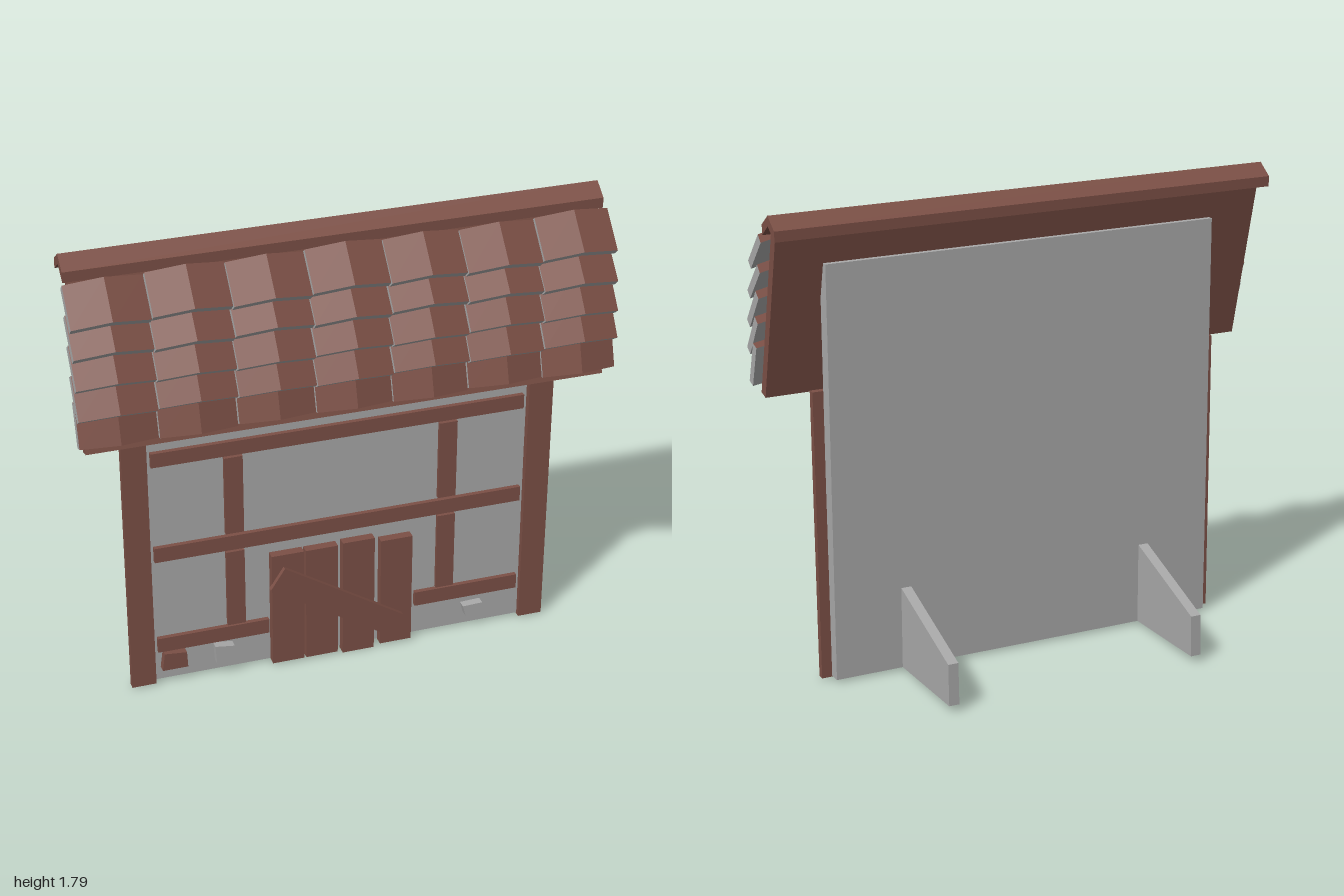
import * as THREE from 'three';

const wood = new THREE.MeshStandardMaterial({ color: 0x7c5046 });
wood.name = 'brown wood';
const stone = new THREE.MeshStandardMaterial({ color: 0xa9a9a9 });
stone.name = 'grey plaster';

// Box given by its extents on each axis
function block(name, [x0, x1], [y0, y1], [z0, z1], material = wood) {
  const mesh = new THREE.Mesh(new THREE.BoxGeometry(x1 - x0, y1 - y0, z1 - z0), material);
  mesh.position.set((x0 + x1) / 2, (y0 + y1) / 2, (z0 + z1) / 2);
  mesh.name = name;
  return mesh;
}

// Profile drawn in (z, y), extruded along x from x0 to x1
function sideProfile(name, points, x0, x1, material) {
  const shape = new THREE.Shape(points.map(([z, y]) => new THREE.Vector2(-z, y)));
  const geometry = new THREE.ExtrudeGeometry(shape, { depth: x1 - x0, bevelEnabled: false });
  geometry.rotateY(Math.PI / 2).translate(x0, 0, 0);
  const mesh = new THREE.Mesh(geometry, material);
  mesh.name = name;
  return mesh;
}

// Small irregular slab drawn in (x, y), standing out from the wall
function facePlate(name, points, z0, z1, material) {
  const shape = new THREE.Shape(points.map(([x, y]) => new THREE.Vector2(x, y)));
  const geometry = new THREE.ExtrudeGeometry(shape, { depth: z1 - z0, bevelEnabled: false });
  geometry.translate(0, 0, z0);
  const mesh = new THREE.Mesh(geometry, material);
  mesh.name = name;
  return mesh;
}

// Bent roof tile: crease top at the origin, hanging down -y; brown front and top, grey elsewhere
function tileGeometry(width, length, bend, thick) {
  const across = [[-width / 2, -bend], [0, 0], [width / 2, -bend]];
  const p = (i, back, low) => [across[i][0], low ? -length : 0, across[i][1] - (back ? thick : 0)];
  const brown = [], grey = [];
  const quad = (list, a, b, c, d) => list.push(...a, ...b, ...c, ...a, ...c, ...d);
  for (let i = 0; i < 2; i++) {
    const j = i + 1;
    quad(brown, p(i, 0, 1), p(j, 0, 1), p(j, 0, 0), p(i, 0, 0));
    quad(brown, p(i, 0, 0), p(j, 0, 0), p(j, 1, 0), p(i, 1, 0));
    quad(grey, p(j, 1, 1), p(i, 1, 1), p(i, 1, 0), p(j, 1, 0));
    quad(grey, p(i, 1, 1), p(j, 1, 1), p(j, 0, 1), p(i, 0, 1));
  }
  quad(grey, p(0, 1, 1), p(0, 0, 1), p(0, 0, 0), p(0, 1, 0));
  quad(grey, p(2, 0, 1), p(2, 1, 1), p(2, 1, 0), p(2, 0, 0));
  const geometry = new THREE.BufferGeometry();
  geometry.setAttribute('position', new THREE.Float32BufferAttribute([...brown, ...grey], 3));
  geometry.addGroup(0, brown.length / 3, 0);
  geometry.addGroup(brown.length / 3, grey.length / 3, 1);
  geometry.computeVertexNormals();
  return geometry;
}

export function createModel() {
  const model = new THREE.Group();
  model.name = 'timberFramedWall';

  // Wall panel and rear props
  model.add(block('wall', [-0.78, 0.78], [0.015, 1.6], [0.077, 0.132], stone));
  for (const x of [-0.505, 0.495]) {
    model.add(sideProfile('rearProp',
      [[0.08, 0.335], [0.08, 0.015], [-0.345, 0.03], [-0.34, 0.19]], x - 0.02, x + 0.02, stone));
  }

  // Corner posts, leaning slightly forward
  for (const [x0, x1, lean] of [[-0.823, -0.73, 0.004], [0.725, 0.82, 0]]) {
    const post = block('cornerPost', [x0, x1], [0.01, 1.12], [0.13, 0.157]);
    post.rotation.set(0.01, 0, lean);
    model.add(post);
  }

  // Horizontal rails
  const rails = [
    [-0.715, 0.71, 0.94, 0.997], [-0.715, 0.71, 0.54, 0.6],
    [-0.715, -0.285, 0.145, 0.205], [0.295, 0.71, 0.145, 0.205],
  ];
  for (const [x0, x1, y0, y1] of rails) model.add(block('rail', [x0, x1], [y0, y1], [0.125, 0.15]));

  // Short uprights between the rails
  for (const x of [-0.41, 0.415]) {
    for (const [y0, y1] of [[0.61, 0.93], [0.21, 0.53]]) {
      model.add(block('upright', [x - 0.035, x + 0.035], [y0, y1], [0.125, 0.148]));
    }
  }

  // Boarded hatch with a diagonal brace
  const planks = [[-0.277, -0.152, 0.013, 0.49], [-0.145, -0.02, 0.013, 0.49],
    [0, 0.125, 0.003, 0.495], [0.15, 0.275, 0.013, 0.475]];
  for (const [x0, x1, y0, y1] of planks) model.add(block('hatchPlank', [x0, x1], [y0, y1], [0.13, 0.167]));
  model.add(facePlate('hatchBrace',
    [[-0.287, 0.355], [0.182, 0.055], [0.235, 0.142], [-0.232, 0.44]], 0.165, 0.185, wood));

  // Loose stones set in the wall foot
  model.add(facePlate('footStone',
    [[-0.705, 0.07], [-0.607, 0.07], [-0.61, 0.135], [-0.695, 0.143]], 0.13, 0.165, wood));
  model.add(facePlate('footStone',
    [[-0.495, 0.055], [-0.42, 0.045], [-0.425, 0.125], [-0.5, 0.135]], 0.13, 0.165, stone));
  model.add(facePlate('footStone',
    [[0.5, 0.065], [0.56, 0.068], [0.567, 0.115], [0.488, 0.112]], 0.13, 0.165, stone));

  // Sloping roof board and ridge cap
  model.add(sideProfile('roofBoard',
    [[0.11, 1.713], [0.07, 1.722], [0.225, 1.105], [0.265, 1.095]].map(([z, y], i) =>
      [z, i < 2 ? 3.435 - y : 2.2 - y]), -0.97, 0.965, wood));
  model.add(sideProfile('ridgeCap',
    [[0.084, 1.795], [0.144, 1.752], [0.144, 1.713], [0.084, 1.757], [0.022, 1.713], [0.022, 1.752]],
    -0.992, 0.985, wood));

  // Five rows of bent tiles: crease top z, y and tilt in degrees
  const rows = [[0.18, 1.737, 43], [0.2, 1.63, 43], [0.228, 1.522, 38], [0.248, 1.418, 34], [0.281, 1.311, 18]];
  const tile = tileGeometry(0.281, 0.162, 0.035, 0.036);
  const roofTiles = new THREE.Group();
  roofTiles.name = 'roofTiles';
  rows.forEach(([z, y, tilt], row) => {
    for (let i = 0; i < 7; i++) {
      const mesh = new THREE.Mesh(tile, [wood, stone]);
      mesh.name = 'roofTile';
      const shift = ((i * 3 + row * 2) % 5 - 2) * 0.002;
      mesh.position.set((i - 3) * 0.2855, y + shift, z);
      mesh.rotation.x = -THREE.MathUtils.degToRad(tilt);
      roofTiles.add(mesh);
    }
  });
  model.add(roofTiles);
  return model;
}
